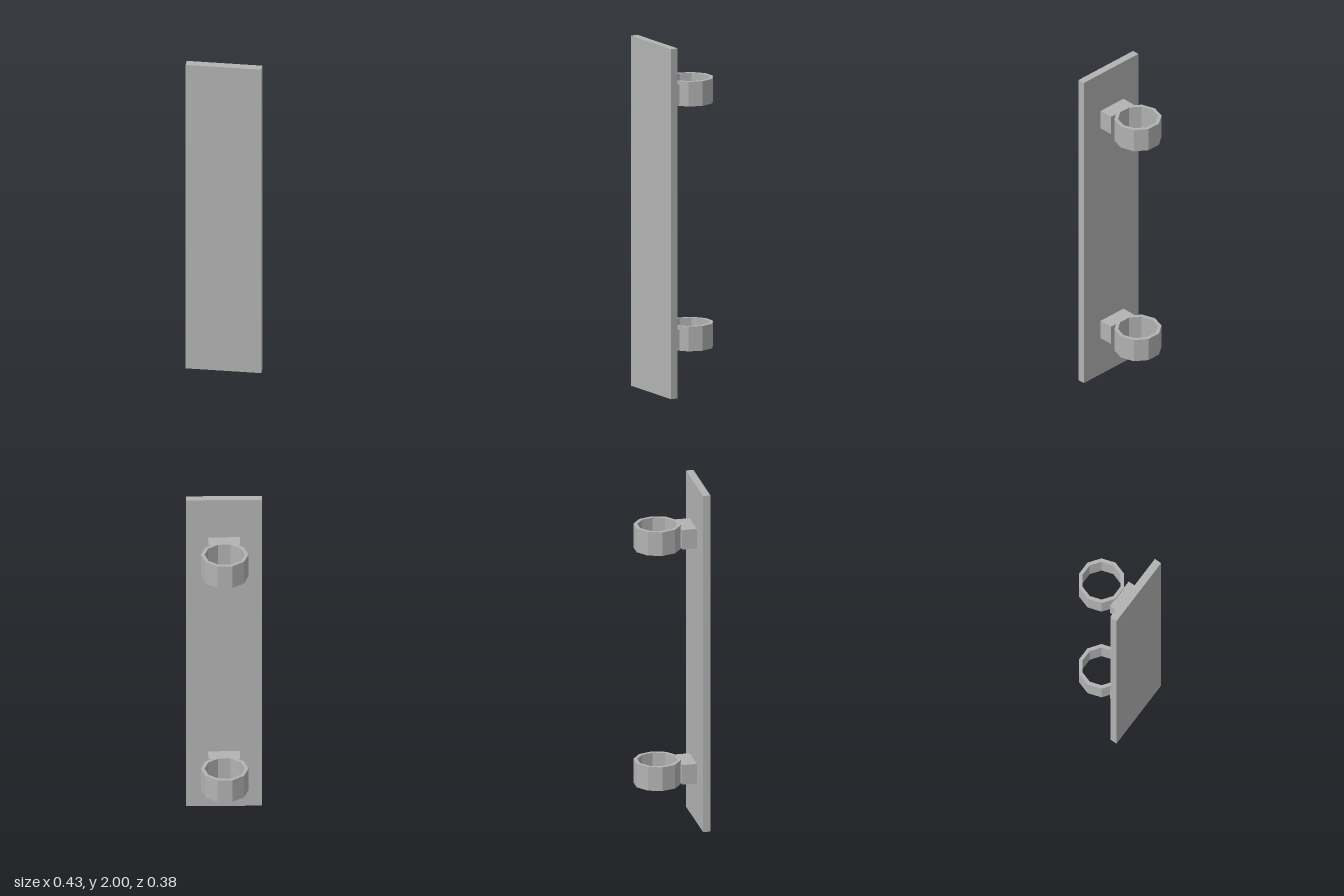
import * as THREE from 'three';

const grey = new THREE.MeshStandardMaterial({ color: 0xb3b3b3 });
grey.name = 'plain grey';

function box(name, w, h, d, x, y, z) {
  const mesh = new THREE.Mesh(new THREE.BoxGeometry(w, h, d), grey);
  mesh.name = name;
  mesh.position.set(x, y, z);
  return mesh;
}

// Ten-sided shape outline with corners on the x axis
function decagon(path, radius) {
  for (let i = 0; i < 10; i++) {
    const a = (i / 10) * Math.PI * 2;
    path[i ? 'lineTo' : 'moveTo'](radius * Math.cos(a), radius * Math.sin(a));
  }
  path.closePath();
  return path;
}

// Flat-sided ring lying level, centred on its own height
function ringGeometry(outer, inner, height) {
  const shape = decagon(new THREE.Shape(), outer);
  shape.holes.push(decagon(new THREE.Path(), inner));
  const geo = new THREE.ExtrudeGeometry(shape, { depth: height, bevelEnabled: false });
  geo.translate(0, 0, -height / 2);
  geo.rotateX(-Math.PI / 2);
  return geo;
}

export function createModel() {
  const model = new THREE.Group();
  model.name = 'mountedPanel';

  // Tall flat panel at the front
  model.add(box('panel', 0.426, 2, 0.043, 0, 1, 0.1695));

  // Two pole clamps behind it: spacer block and ring
  const ringGeo = ringGeometry(0.133, 0.112, 0.141);
  [['lowerClamp', 0.304], ['upperClamp', 1.703]].forEach(([name, y]) => {
    const clamp = new THREE.Group();
    clamp.name = name;
    clamp.position.y = y;
    clamp.add(box('spacerBlock', 0.178, 0.116, 0.084, 0, 0, 0.099));
    const ring = new THREE.Mesh(ringGeo, grey);
    ring.name = 'clampRing';
    ring.position.z = -0.066;
    clamp.add(ring);
    model.add(clamp);
  });

  return model;
}
